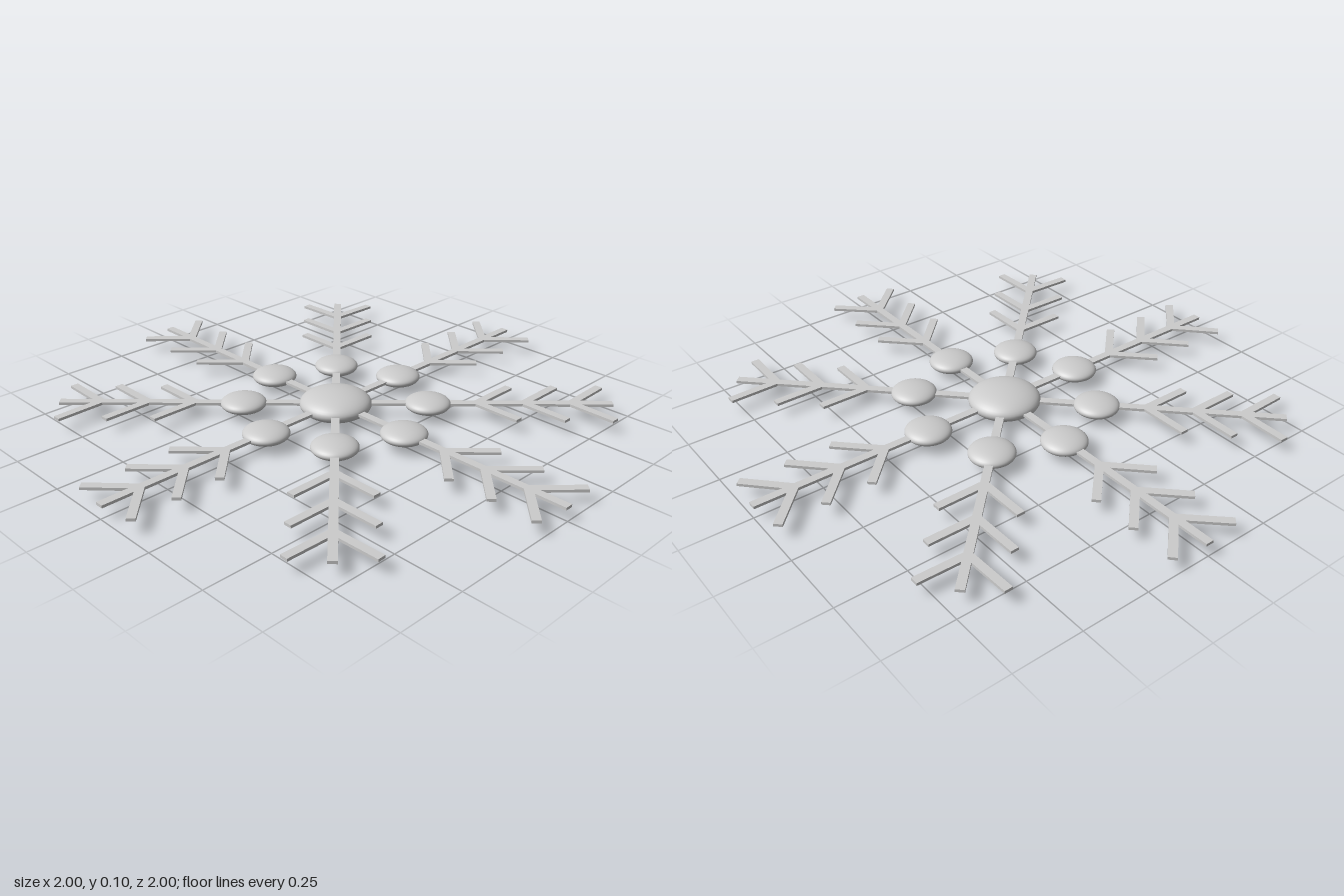
import * as THREE from 'three';

const MID = 0.05;      // height of the mid-plane
const WIDTH = 0.03;    // bar width
const THICK = 0.01;    // bar thickness

const material = new THREE.MeshStandardMaterial({ color: 0xcccccc });

// Flat bar running from its own origin along +x
function bar(name, length) {
  const geometry = new THREE.BoxGeometry(length, THICK, WIDTH);
  geometry.translate(length / 2, 0, 0);
  const mesh = new THREE.Mesh(geometry, material);
  mesh.name = name;
  return mesh;
}

// Flattened sphere
function bead(name, radius, halfHeight) {
  const geometry = new THREE.SphereGeometry(radius, 48, 24);
  geometry.scale(1, halfHeight / radius, 1);
  const mesh = new THREE.Mesh(geometry, material);
  mesh.name = name;
  return mesh;
}

// One arm: spine, bead and three pairs of side branches
function createArm() {
  const arm = new THREE.Group();
  arm.name = 'arm';
  arm.add(bar('spine', 1));

  const armBead = bead('armBead', 0.083, 0.03);
  armBead.position.x = 0.333;
  arm.add(armBead);

  const branches = [[0.51, 45], [0.68, 45.5], [0.85, 46.5]];
  for (const [distance, degrees] of branches) {
    for (const side of [-1, 1]) {
      const branch = bar(side > 0 ? 'leftBranch' : 'rightBranch', 0.188);
      branch.position.x = distance;
      branch.rotation.y = side * THREE.MathUtils.degToRad(degrees);
      arm.add(branch);
    }
  }
  return arm;
}

export function createModel() {
  const snowflake = new THREE.Group();
  snowflake.name = 'snowflake';

  const hub = bead('hub', 0.131, 0.05);
  hub.position.y = MID;
  snowflake.add(hub);

  // Eight arms around the hub
  for (let i = 0; i < 8; i++) {
    const arm = createArm();
    arm.position.y = MID;
    arm.rotation.y = (i * Math.PI) / 4;
    snowflake.add(arm);
  }
  return snowflake;
}
